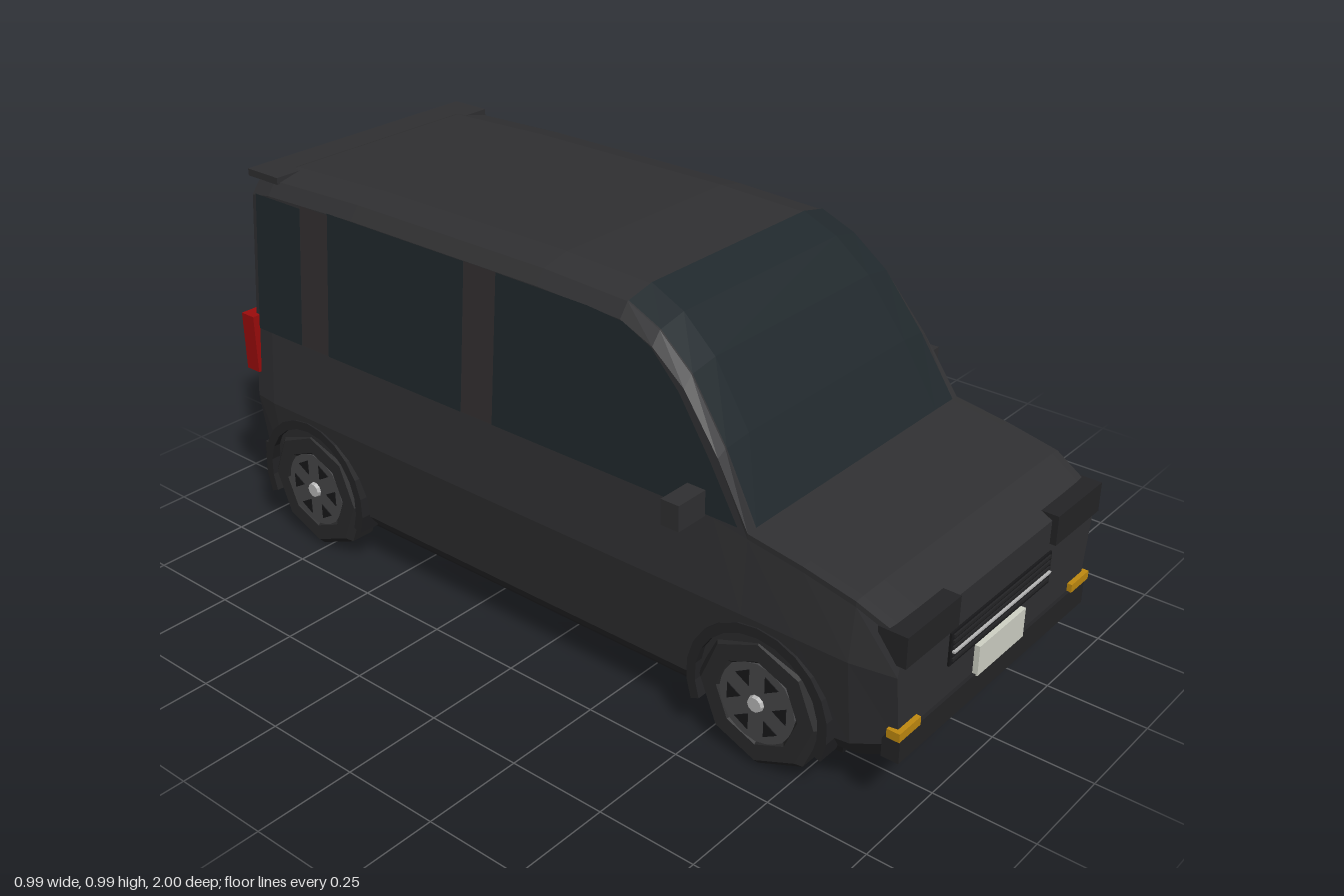
import * as THREE from 'three';

const mat = (color) => new THREE.MeshStandardMaterial({ color, flatShading: true, side: THREE.DoubleSide });
const PAINT = mat(0x303032), TRIM = mat(0x242426), GLASS = mat(0x20282c), PILLAR = mat(0x332f30);
const RUBBER = mat(0x2b2b2c), RIM = mat(0x48484a), DARK = mat(0x18181a), CHROME = mat(0xb8b8b8);
const PLATE = mat(0xd0d2c6), AMBER = mat(0xc08a10), RED = mat(0x9c0c0c);

function add(parent, name, geometry, material) {
  const mesh = new THREE.Mesh(geometry, material);
  mesh.name = name;
  parent.add(mesh);
  return mesh;
}

// Box given by its limits on each axis
function box(parent, name, x0, x1, y0, y1, z0, z1, material) {
  const m = add(parent, name, new THREE.BoxGeometry(Math.abs(x1 - x0), y1 - y0, z1 - z0), material);
  m.position.set((x0 + x1) / 2, (y0 + y1) / 2, (z0 + z1) / 2);
  return m;
}

// Half width of the cabin, leaning inwards above the belt line
const cabinHalf = (y) => 0.408 - 0.09 * Math.max(0, y - 0.57);

// Body stations from back to front: z, top height, bottom height, width factor
const stations = [
  [-0.97, 0.965, 0.13, 0.98], [-0.9, 0.98, 0.105, 1], [-0.6, 0.99, 0.1, 1], [0, 0.99, 0.1, 1],
  [0.24, 0.98, 0.1, 1], [0.33, 0.94, 0.1, 1], [0.42, 0.865, 0.1, 1], [0.52, 0.725, 0.1, 1],
  [0.61, 0.57, 0.1, 1], [0.75, 0.548, 0.1, 1], [0.88, 0.52, 0.115, 1], [0.985, 0.465, 0.155, 0.955],
];

// Closed cross-section, counter-clockwise seen from the front
function section([z, top, bottom, f]) {
  const belt = Math.min(0.57, top - 0.015), t = top - belt;
  const shoulder = belt + t * 0.88, w = cabinHalf(shoulder);
  const half = [
    [0.36, bottom], [0.4, bottom + 0.05], [0.425, 0.38], [cabinHalf(belt), belt],
    [w, shoulder], [w - 0.025, belt + t * 0.96], [w - 0.1, top],
  ].map(([x, y]) => [x * f, y, z]);
  return [...half, ...half.map(([x, y, zz]) => [-x, y, zz]).reverse()];
}

// Skin through rows of points, optionally closed round and capped
function loft(rows, closed) {
  const n = rows[0].length, pos = rows.flat(2), idx = [];
  for (let i = 0; i < rows.length - 1; i++) {
    for (let j = 0; j < (closed ? n : n - 1); j++) {
      const k = (j + 1) % n, a = i * n + j, b = i * n + k;
      idx.push(a, b, b + n, a, b + n, a + n);
    }
  }
  if (closed) {
    const last = (rows.length - 1) * n;
    for (let j = 1; j < n - 1; j++) idx.push(0, j + 1, j, last, last + j, last + j + 1);
  }
  const g = new THREE.BufferGeometry();
  g.setAttribute('position', new THREE.Float32BufferAttribute(pos, 3));
  g.setIndex(idx);
  g.computeVertexNormals();
  return g;
}

// Flat panel in (z, y) laid on the leaning cabin side
function sidePanel(parent, name, points, s, offset, material) {
  const g = new THREE.ShapeGeometry(new THREE.Shape(points.map(([z, y]) => new THREE.Vector2(z, y))));
  const p = g.attributes.position;
  for (let i = 0; i < p.count; i++) {
    const z = p.getX(i), y = p.getY(i);
    p.setXYZ(i, s * (cabinHalf(y) + offset), y, z);
  }
  g.computeVertexNormals();
  add(parent, name, g, material);
}

// Wheel with its outer face towards +x
function makeWheel() {
  const wheel = new THREE.Group();
  wheel.name = 'wheel';
  const profile = [[0, -0.05], [0.148, -0.05], [0.166, -0.03], [0.166, 0.035], [0.15, 0.05], [0.108, 0.05], [0.1, 0.042], [0, 0.042]];
  add(wheel, 'tyre', new THREE.LatheGeometry(profile.map((p) => new THREE.Vector2(...p)), 8).rotateZ(-Math.PI / 2), RUBBER);
  const rim = add(wheel, 'rim', new THREE.CylinderGeometry(0.1, 0.1, 0.01, 16).rotateZ(-Math.PI / 2), RIM);
  rim.position.x = 0.043;
  for (let i = 0; i < 6; i++) {
    const a = (i / 6) * Math.PI * 2;
    const gap = new THREE.CylinderGeometry(0.024, 0.024, 0.004, 3).translate(0, 0, -0.066).rotateZ(-Math.PI / 2).rotateX(a);
    add(wheel, 'rimOpening', gap, DARK).position.x = 0.048;
  }
  const hub = add(wheel, 'hub', new THREE.CylinderGeometry(0.018, 0.022, 0.014, 10).rotateZ(-Math.PI / 2), CHROME);
  hub.position.x = 0.05;
  return wheel;
}

// Flared arch, open at the sill
function archGeometry() {
  const shape = new THREE.Shape();
  shape.absarc(0, 0, 0.187, -0.39, Math.PI + 0.39, false);
  shape.absarc(0, 0, 0.163, Math.PI + 0.39, -0.39, true);
  return new THREE.ExtrudeGeometry(shape, { depth: 0.06, bevelEnabled: false, curveSegments: 7 }).rotateY(Math.PI / 2);
}

export function createModel() {
  const van = new THREE.Group();
  van.name = 'van';

  // Body shell, underside and windscreen
  add(van, 'body', loft(stations.map(section), true), PAINT);
  box(van, 'underbody', -0.36, 0.36, 0.096, 0.11, -0.88, 0.84, DARK);
  const screen = stations.slice(4, 9).map((s) => section(s).slice(5, 9).map(([x, y, z]) => [x, y + 0.003, z + 0.003]));
  add(van, 'windscreen', loft(screen, false), GLASS);

  // Sides: windows, pillars, mirrors and lamps
  const rect = (z0, z1, y1) => [[z0, 0.575], [z1, 0.575], [z1, y1], [z0, y1]];
  const frontWindow = [[0.585, 0.575], [0.5, 0.7], [0.41, 0.82], [0.33, 0.895], [0.25, 0.93], [0.15, 0.938], [-0.12, 0.94], [-0.12, 0.575]];
  for (const s of [1, -1]) {
    sidePanel(van, 'frontSideWindow', frontWindow, s, 0.003, GLASS);
    sidePanel(van, 'middleSideWindow', rect(-0.68, -0.22, 0.94), s, 0.003, GLASS);
    sidePanel(van, 'rearSideWindow', rect(-0.945, -0.78, 0.928), s, 0.003, GLASS);
    sidePanel(van, 'middlePillar', rect(-0.22, -0.12, 0.94), s, 0.002, PILLAR);
    sidePanel(van, 'rearPillar', rect(-0.78, -0.68, 0.935), s, 0.002, PILLAR);
    box(van, 'mirrorArm', s * 0.39, s * 0.42, 0.575, 0.622, 0.455, 0.49, TRIM);
    box(van, 'mirrorHousing', s * 0.41, s * 0.497, 0.57, 0.632, 0.452, 0.5, PAINT);
    box(van, 'mirrorGlass', s * 0.42, s * 0.49, 0.577, 0.625, 0.449, 0.453, CHROME);
    box(van, 'headlight', s * 0.203, s * 0.402, 0.406, 0.48, 0.93, 1, TRIM);
    box(van, 'indicator', s * 0.32, s * 0.4, 0.224, 0.245, 0.965, 0.997, AMBER);
    box(van, 'tailLight', s * 0.372, s * 0.42, 0.45, 0.605, -1, -0.955, RED);
  }

  // Nose: grille, bumper and plate
  box(van, 'grille', -0.21, 0.21, 0.304, 0.386, 0.97, 0.99, DARK);
  for (let i = 0; i < 5; i++) {
    const y = 0.314 + i * 0.015;
    box(van, 'grilleSlat', -0.203, 0.203, y, y + 0.007, 0.985, 0.994, TRIM);
  }
  box(van, 'grilleStrip', -0.203, 0.203, 0.335, 0.34, 0.985, 0.997, CHROME);
  box(van, 'frontBumper', -0.39, 0.39, 0.163, 0.225, 0.95, 0.993, TRIM);
  box(van, 'frontPlate', -0.097, 0.097, 0.222, 0.297, 0.98, 0.998, PLATE);

  // Tail: window, spoiler, brake lamp, bumper and plate
  box(van, 'rearWindowFrame', -0.35, 0.35, 0.62, 0.935, -0.975, -0.96, TRIM);
  box(van, 'rearWindow', -0.325, 0.325, 0.64, 0.918, -0.979, -0.965, GLASS);
  box(van, 'tailgateLedge', -0.38, 0.38, 0.57, 0.59, -0.978, -0.96, PAINT);
  box(van, 'spoiler', -0.36, 0.36, 0.96, 0.978, -0.99, -0.88, PAINT);
  box(van, 'brakeLamp', -0.08, 0.08, 0.94, 0.953, -0.982, -0.96, RED);
  box(van, 'rearBumper', -0.395, 0.395, 0.165, 0.225, -0.995, -0.95, TRIM);
  box(van, 'rearPlate', -0.097, 0.097, 0.29, 0.37, -0.98, -0.96, PLATE);

  // Wheels and arches
  const arch = archGeometry();
  for (const z of [0.655, -0.77]) {
    for (const s of [1, -1]) {
      const wheel = makeWheel();
      wheel.position.set(s * 0.372, 0.171, z);
      wheel.rotation.y = s > 0 ? 0 : Math.PI;
      van.add(wheel);
      add(van, 'wheelArch', arch, TRIM).position.set(s > 0 ? 0.367 : -0.427, 0.178, z);
    }
  }
  return van;
}
